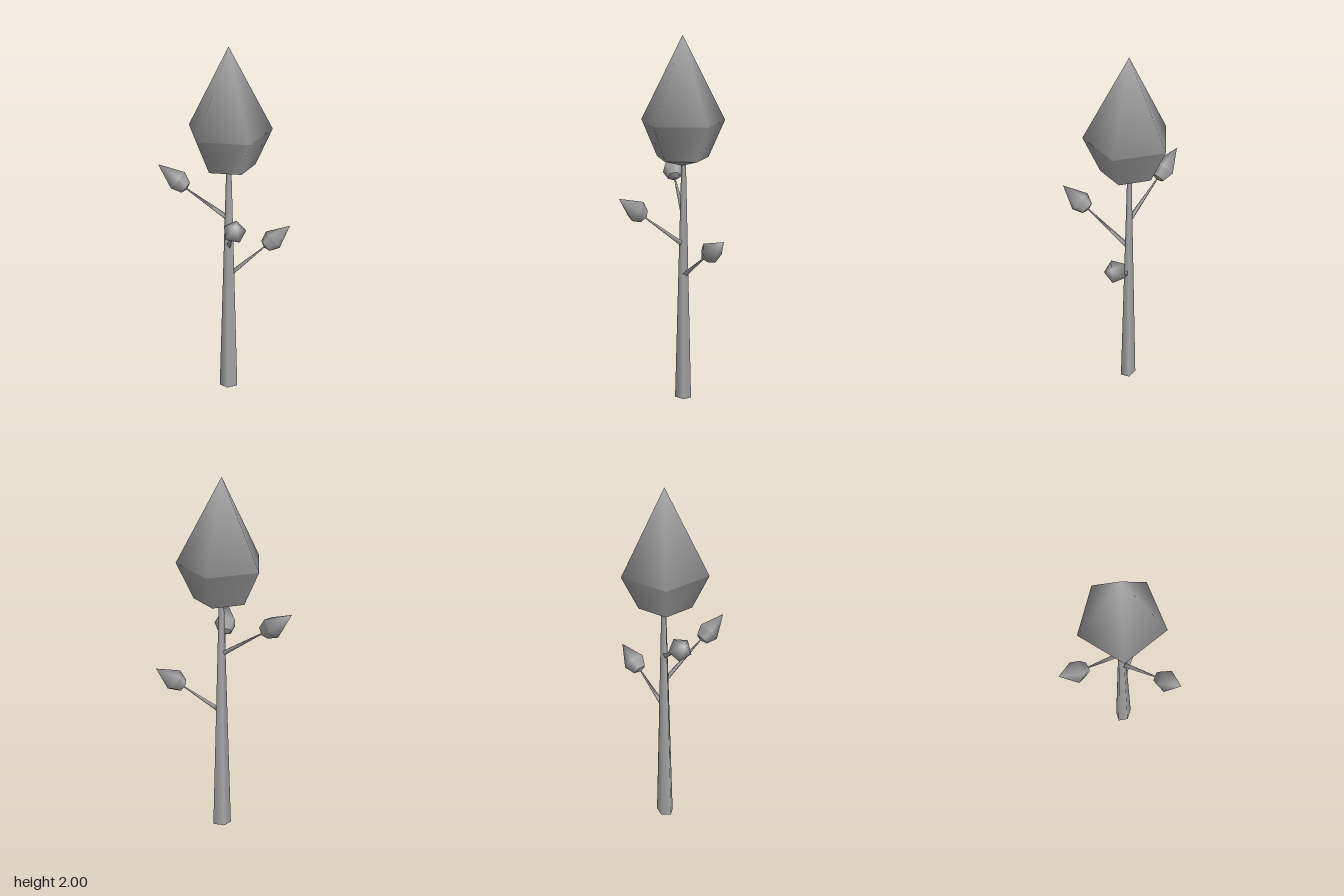
import * as THREE from 'three';
import { mergeGeometries } from 'three/addons/utils/BufferGeometryUtils.js';

const material = new THREE.MeshStandardMaterial({ color: 0xa8a8a8, side: THREE.DoubleSide });
const UP = new THREE.Vector3(0, 1, 0);

function addMesh(parent, name, geometry) {
  const mesh = new THREE.Mesh(geometry, material);
  mesh.name = name;
  parent.add(mesh);
  return mesh;
}

// Five-sided bud, base point at the origin and tip up +y, creased at its two rings
function budGeometry(height, radius) {
  const waist = 0.617 * radius;
  const low = 0.06 * height;
  const wide = 0.342 * height;
  const section = (top, bottom, y0, y1) =>
    new THREE.CylinderGeometry(top, bottom, y1 - y0, 5, 1, true, Math.PI / 2).translate(0, (y0 + y1) / 2, 0);

  // Upper cone: rounded shading from an upright tip to a rim that turns slightly under
  const cone = section(0, radius, wide, height);
  const position = cone.attributes.position;
  const normal = cone.attributes.normal;
  for (let i = 0; i < position.count; i++) {
    const x = position.getX(i) / radius;
    const z = position.getZ(i) / radius;
    if (Math.hypot(x, z) < 0.01) normal.setXYZ(i, 0, 1, 0);
    else normal.setXYZ(i, 0.98 * x, -0.2, 0.98 * z);
  }
  return mergeGeometries([cone, section(radius, waist, low, wide), section(waist, 0, 0, low)]);
}

// Thin tapered twig between two points
function addTwig(parent, from, to) {
  const dir = to.clone().sub(from);
  const twig = addMesh(parent, 'twig', new THREE.CylinderGeometry(0.004, 0.016, dir.length(), 3, 1, true));
  twig.position.copy(from).addScaledVector(dir, 0.5);
  twig.quaternion.setFromUnitVectors(UP, dir.normalize());
}

// Small leaf cluster pointing from its base to its tip
function addLeaf(parent, base, tip) {
  const dir = tip.clone().sub(base);
  const leaf = addMesh(parent, 'leafCluster', budGeometry(dir.length(), 0.062));
  leaf.position.copy(base);
  leaf.quaternion.setFromUnitVectors(UP, dir.normalize());
}

export function createModel() {
  const tree = new THREE.Group();
  tree.name = 'tree';

  // Trunk: open, tapered, slightly flattened front to back
  const trunk = addMesh(tree, 'trunk',
    new THREE.CylinderGeometry(0.015, 0.054, 1.33, 5, 1, true, -Math.PI / 2));
  trunk.scale.z = 0.8;
  trunk.position.set(0.008, 0.665, -0.084);

  // Crown
  const crown = addMesh(tree, 'crown', budGeometry(0.69, 0.235));
  crown.position.set(0.005, 1.31, -0.078);

  // Branches: twig start, leaf base, leaf tip
  const branches = [
    ['leftBranch', [0.02, 0.71, -0.08], [0.205, 0.85, -0.094], [0.352, 0.962, -0.11]],
    ['frontBranch', [0.008, 0.88, -0.08], [-0.008, 1.055, 0.15], [-0.018, 1.17, 0.3]],
    ['rightBranch', [-0.005, 1.05, -0.088], [-0.207, 1.195, -0.165], [-0.354, 1.325, -0.228]],
  ];
  for (const [name, ...points] of branches) {
    const [start, base, tip] = points.map((p) => new THREE.Vector3(...p));
    const branch = new THREE.Group();
    branch.name = name;
    addTwig(branch, start, base.clone().lerp(tip, 0.05));
    addLeaf(branch, base, tip);
    tree.add(branch);
  }
  return tree;
}
